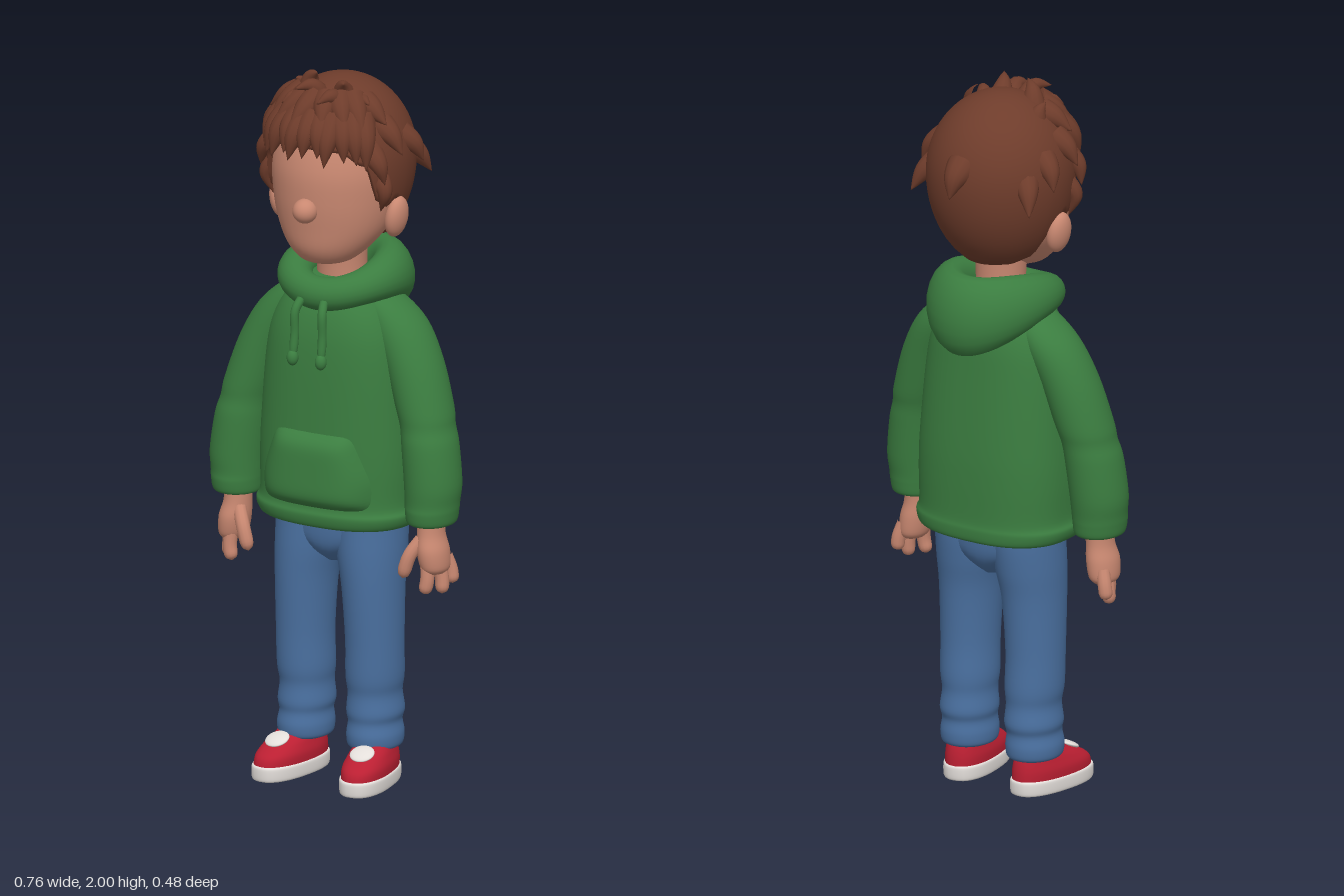
import * as THREE from 'three';
import { mergeVertices } from 'three/addons/utils/BufferGeometryUtils.js';

const V = (x, y, z) => new THREE.Vector3(x, y, z);
const mat = (name, color) => {
  const m = new THREE.MeshStandardMaterial({ color });
  m.name = name;
  return m;
};

// Weld a geometry's seams and give it smooth normals
function smooth(geo) {
  geo.deleteAttribute('uv');
  geo.deleteAttribute('normal');
  const g = mergeVertices(geo, 1e-5);
  g.computeVertexNormals();
  return g;
}

// Surface from fn(u, v): u runs left to right, v upward, seen from outside
function grid(cols, rows, fn) {
  const pos = [], idx = [];
  for (let j = 0; j <= rows; j++)
    for (let i = 0; i <= cols; i++) pos.push(...fn(i / cols, j / rows).toArray());
  for (let j = 0; j < rows; j++)
    for (let i = 0; i < cols; i++) {
      const a = j * (cols + 1) + i, b = a + 1, c = b + cols + 1, d = a + cols + 1;
      idx.push(a, b, c, a, c, d);
    }
  const geo = new THREE.BufferGeometry();
  geo.setAttribute('position', new THREE.Float32BufferAttribute(pos, 3));
  geo.setIndex(idx);
  return smooth(geo);
}

// Capped loft through horizontal sections [y, cx, cz, rx, rz], listed upward
function loft(sections, n = 2, cols = 36) {
  const per = 5, rows = (sections.length - 1) * per;
  const spline = (k) => new THREE.SplineCurve(sections.map((s, i) => new THREE.Vector2(i, s[k])));
  const curves = [0, 1, 2, 3, 4].map(spline);
  const pw = (t) => Math.sign(t) * Math.abs(t) ** (2 / n);
  return grid(cols, rows + 2, (u, v) => {
    const j = Math.round(v * (rows + 2)) - 1;
    const t = THREE.MathUtils.clamp(j / rows, 0, 1);
    const [y, cx, cz, rx, rz] = curves.map((c) => c.getPoint(t).y);
    const k = j < 0 || j > rows ? 0 : 1;
    const a = (u % 1) * Math.PI * 2;
    return V(cx + k * rx * pw(Math.sin(a)), y, cz + k * rz * pw(Math.cos(a)));
  });
}

// Tube along a curve with its radius scaled by f(t)
function taper(points, r, f, segs = 14, sides = 12) {
  const curve = new THREE.CatmullRomCurve3(points);
  const geo = new THREE.TubeGeometry(curve, segs, r, sides);
  const p = geo.attributes.position, v = V();
  for (let i = 0; i < p.count; i++) {
    const t = Math.floor(i / (sides + 1)) / segs;
    v.fromBufferAttribute(p, i).lerp(curve.getPointAt(t), 1 - f(t));
    p.setXYZ(i, v.x, v.y, v.z);
  }
  return smooth(geo);
}
const pointed = (t) => 1 - t ** 1.5;
const rounded = (t) => (t < 0.75 ? 1 : Math.sqrt(Math.max(0, 1 - ((t - 0.75) / 0.25) ** 2)));

// Point on the hair dome at azimuth a (0 = front) and height y
function hairPoint(a, y, k = 1) {
  const d = (y - 1.75) / (y > 1.75 ? 0.225 : 0.275);
  const r = Math.sqrt(Math.max(0, 1 - d * d)) * k;
  return V(0.2 * r * Math.sin(a), y, 0.008 + 0.208 * r * Math.cos(a));
}

// Height of the hairline by azimuth, the same on both sides
const hairline = [[0, 1.815], [0.5, 1.81], [0.85, 1.77], [1.08, 1.66], [1.25, 1.64],
  [1.4, 1.66], [1.62, 1.63], [1.82, 1.535], [2.3, 1.515], [3.2, 1.51]];
function hairlineAt(a) {
  const i = Math.max(1, hairline.findIndex((h) => h[0] >= a));
  const [p, q] = [hairline[i - 1], hairline[i]];
  return THREE.MathUtils.lerp(p[1], q[1], THREE.MathUtils.smoothstep(a, p[0], q[0]));
}

export function createModel() {
  const model = new THREE.Group();
  const skin = mat('skin', 0xc98871), brown = mat('hair brown', 0x6e3c2b);
  const green = mat('hoodie green', 0x3b7d40), blue = mat('denim blue', 0x4a70a0);
  const red = mat('shoe red', 0xbb1f32), white = mat('shoe white', 0xe3deda);
  const add = (name, geo, m, parent = model) => {
    const mesh = new THREE.Mesh(geo, m);
    mesh.name = name;
    parent.add(mesh);
    return mesh;
  };
  const ball = (name, m, c, r, parent) => {
    const mesh = add(name, new THREE.SphereGeometry(1, 28, 20), m, parent);
    mesh.position.set(...c);
    mesh.scale.set(...r);
    return mesh;
  };

  // Head, neck and nose
  add('head', loft([[1.47, 0, 0.1, 0.03, 0.03], [1.482, 0, 0.09, 0.075, 0.07], [1.52, 0, 0.07, 0.118, 0.115],
    [1.58, 0, 0.042, 0.157, 0.153], [1.66, 0, 0.018, 0.18, 0.185], [1.75, 0, 0.005, 0.187, 0.195],
    [1.85, 0, 0, 0.162, 0.165], [1.93, 0, 0, 0.09, 0.09]]), skin);
  add('neck', loft([[1.36, 0, 0.005, 0.07, 0.07], [1.45, 0, 0.008, 0.068, 0.068], [1.56, 0, 0.01, 0.075, 0.075]]), skin);
  ball('nose', skin, [0, 1.638, 0.205], [0.034, 0.034, 0.036]);

  // Hair cap: lowest row tucks in under the rim
  add('hairCap', grid(96, 28, (u, v) => {
    const a = (u % 1) * Math.PI * 2, yb = hairlineAt(Math.min(a, Math.PI * 2 - a));
    if (v === 0) return hairPoint(a, yb + 0.008, 0.84);
    const w = 1 - (v * 28 - 1) / 27;
    return hairPoint(a, 1.975 - (1.975 - yb) * (1 - Math.cos(w * Math.PI / 2)));
  }), brown);

  // Hair locks: base azimuth and height, tip azimuth, height and reach, thickness
  const lock = (name, a0, y0, a1, y1, out, r) => add(name, taper([hairPoint(a0, y0, 0.86),
    hairPoint((a0 + a1) / 2, (y0 + y1) / 2 + 0.012, 1.03), hairPoint(a1, y1, out)], r, pointed), brown);
  for (let i = -5; i <= 5; i++) {
    const a = i * 0.18, wob = Math.sin(i * 2.3);
    lock('fringeLock', a, 1.885, a + 0.05 * wob, 1.79 + 0.012 * wob - 0.004 * Math.abs(i), 1.06, 0.042);
    if (i % 2) lock('upperFringeLock', a * 0.9, 1.93, a + 0.08 * wob, 1.865 + 0.01 * wob, 1.16, 0.04);
  }
  for (const s of [-1, 1]) {
    lock('sideLock', s * 1.3, 1.86, s * 1.35, 1.79, 1.14, 0.04);
    lock('sideLock', s * 1.75, 1.82, s * 1.83, 1.745, 1.14, 0.038);
    lock('sideLock', s * 2.1, 1.77, s * 2.18, 1.69, 1.23, 0.036);
    lock('templeLock', s * 1.0, 1.8, s * 1.1, 1.715, 1.1, 0.036);
    lock('templeLock', s * 1.1, 1.92, s * 1.2, 1.875, 1.18, 0.038);
    lock('sideburn', s * 1.15, 1.73, s * 1.14, 1.63, 1.02, 0.03);
  }
  lock('backLock', Math.PI, 1.81, Math.PI, 1.73, 1.15, 0.045);

  // Tousled tufts on the crown: root, bend and tip
  [[[-0.07, 1.92, 0.06], [-0.06, 1.97, 0.07], [-0.03, 1.995, 0.09]],
    [[0.04, 1.92, 0.06], [0.05, 1.965, 0.09], [0.07, 1.985, 0.12]],
    [[-0.02, 1.91, 0.08], [-0.03, 1.965, 0.12], [-0.06, 1.96, 0.16]],
    [[0.03, 1.91, 0.09], [0.04, 1.95, 0.14], [0.02, 1.935, 0.18]],
    [[-0.1, 1.89, 0.02], [-0.115, 1.94, 0.03], [-0.12, 1.955, 0.05]],
    [[0.09, 1.88, 0.05], [0.11, 1.935, 0.08], [0.14, 1.93, 0.1]],
    [[-0.07, 1.88, 0.09], [-0.08, 1.93, 0.13], [-0.1, 1.915, 0.16]],
  ].forEach((p) => add('crownTuft', taper(p.map((q) => V(...q)), 0.036, pointed), brown));

  // Hoodie body
  add('hoodieBody', loft([[0.733, 0, 0.005, 0.2, 0.15], [0.74, 0, 0.006, 0.224, 0.168], [0.77, 0, 0.008, 0.235, 0.174],
    [0.8, 0, 0.006, 0.225, 0.168], [0.9, 0, 0.005, 0.226, 0.168], [1.0, 0, 0.005, 0.222, 0.166],
    [1.2, 0, 0.008, 0.205, 0.156], [1.3, 0, 0.005, 0.182, 0.145], [1.37, 0, 0, 0.14, 0.122],
    [1.42, 0, 0, 0.085, 0.085]], 2.5, 48), green);

  // Front pocket: a bulging patch that narrows toward the top
  add('frontPocket', grid(32, 24, (u, v) => {
    const p = u * 2 - 1, w = v * 2 - 1;
    const half = 0.172 - 0.045 * THREE.MathUtils.smoothstep(v, 0.3, 1) - 0.02 * Math.abs(w) ** 8;
    const x = p * half;
    const body = 0.005 + 0.168 * (1 - (Math.abs(x) / 0.224) ** 2.5) ** 0.4;
    return V(x, 0.79 + 0.215 * v, body - 0.008 + (0.052 - 0.012 * v) * (1 - p ** 6) * (1 - w ** 6));
  }), green);

  // Hood: a closed roll, thin at the throat and deep at the back
  add('hood', grid(56, 20, (u, v) => {
    const a = (u % 1) * Math.PI * 2, f = (v % 1) * Math.PI * 2;
    const b = (1 - Math.cos(a)) / 2, side = Math.sin(a) ** 2;
    const w = 0.045 + 0.017 * b, h = 0.046 + 0.064 * b * b;
    const R = w * Math.cos(f), drop = Math.sin(f);
    const flare = 0.012 * b * drop;
    return V((0.127 + R - flare) * Math.sin(a), 1.385 - 0.005 * b + 0.034 * side + h * drop,
      (0.13 + 0.03 * b + R - flare) * Math.cos(a));
  }), green);

  for (const s of [-1, 1]) {
    const side = s > 0 ? 'left' : 'right';
    const flip = (rows) => rows.map(([y, x, ...r]) => [y, x * s, ...r]);
    const pts = (list) => list.map(([x, y, z]) => V(x * s, y, z));

    ball(side + 'Ear', skin, [0.18 * s, 1.603, 0.025], [0.028, 0.058, 0.042]).rotation.z = -0.15 * s;

    // Drawstring with a thicker end
    add(side + 'Drawstring', taper(pts([[0.035, 1.375, 0.165], [0.042, 1.345, 0.186], [0.043, 1.28, 0.187],
      [0.044, 1.21, 0.197]]), 0.012, rounded, 20), green);
    ball(side + 'DrawstringEnd', green, [0.044 * s, 1.215, 0.197], [0.016, 0.022, 0.016]);

    // Sleeve
    add(side + 'Sleeve', loft(flip([[0.763, 0.3, 0.045, 0.052, 0.06], [0.77, 0.302, 0.045, 0.066, 0.076],
      [0.8, 0.303, 0.045, 0.071, 0.081], [0.825, 0.303, 0.043, 0.073, 0.081], [0.88, 0.303, 0.04, 0.077, 0.085],
      [0.98, 0.291, 0.034, 0.076, 0.086], [1.03, 0.28, 0.028, 0.073, 0.083], [1.08, 0.267, 0.022, 0.077, 0.086],
      [1.2, 0.225, 0.01, 0.08, 0.086], [1.3, 0.17, 0, 0.08, 0.083], [1.365, 0.115, 0, 0.06, 0.065],
      [1.39, 0.08, 0, 0.03, 0.03]])), green);

    // Hand with four fingers
    const hand = new THREE.Group();
    hand.name = side + 'Hand';
    model.add(hand);
    add('palm', loft(flip([[0.628, 0.317, 0.048, 0.026, 0.036], [0.645, 0.315, 0.048, 0.038, 0.05],
      [0.69, 0.309, 0.05, 0.042, 0.053], [0.735, 0.302, 0.048, 0.037, 0.044], [0.79, 0.3, 0.045, 0.036, 0.042]])), skin, hand);
    [['finger', [[0.33, 0.67, 0.02], [0.342, 0.63, 0.012], [0.348, 0.59, 0.012]]],
      ['finger', [[0.322, 0.66, 0.045], [0.332, 0.61, 0.042], [0.334, 0.567, 0.045]]],
      ['finger', [[0.305, 0.66, 0.075], [0.308, 0.61, 0.08], [0.3, 0.57, 0.083]]],
      ['thumb', [[0.285, 0.72, 0.07], [0.26, 0.675, 0.092], [0.24, 0.61, 0.097]]],
    ].forEach(([name, list]) => add(name, taper(pts(list), 0.019, rounded), skin, hand));

    // Trouser leg with folds near the ankle
    add(side + 'TrouserLeg', loft(flip([[0.097, 0.108, 0.015, 0.06, 0.07], [0.106, 0.108, 0.015, 0.072, 0.085],
      [0.135, 0.108, 0.015, 0.075, 0.089], [0.17, 0.107, 0.014, 0.07, 0.084], [0.2, 0.107, 0.012, 0.076, 0.089],
      [0.25, 0.106, 0.013, 0.071, 0.084], [0.3, 0.107, 0.015, 0.077, 0.089], [0.4, 0.108, 0.018, 0.077, 0.09],
      [0.55, 0.104, 0.018, 0.082, 0.1], [0.64, 0.097, 0.012, 0.091, 0.11], [0.72, 0.092, 0.006, 0.095, 0.115],
      [0.8, 0.09, 0.005, 0.095, 0.115]])), blue);

    // Shoe, toe turned slightly outward
    const shoe = new THREE.Group();
    shoe.name = side + 'Shoe';
    shoe.position.set(0.124 * s, 0, 0.07);
    shoe.rotation.y = 0.15 * s;
    model.add(shoe);
    add('sole', loft([[0, 0, 0, 0.056, 0.13], [0.006, 0, 0, 0.064, 0.138], [0.036, 0, 0, 0.065, 0.139],
      [0.043, 0, 0, 0.06, 0.134]], 2.4), white, shoe);
    add('upper', loft([[0.035, 0, 0, 0.061, 0.135], [0.065, 0, -0.004, 0.062, 0.129], [0.09, 0, -0.02, 0.056, 0.108],
      [0.11, 0, -0.04, 0.05, 0.08], [0.13, 0, -0.055, 0.045, 0.055]], 2.3), red, shoe);
    ball('tongue', white, [0, 0.104, 0.058], [0.034, 0.009, 0.034], shoe).rotation.x = 0.4;
  }

  // Seat of the trousers
  add('trouserSeat', loft([[0.615, 0, 0.008, 0.03, 0.06], [0.65, 0, 0.008, 0.09, 0.098], [0.7, 0, 0.006, 0.165, 0.115],
    [0.8, 0, 0.005, 0.185, 0.118]]), blue);

  return model;
}
